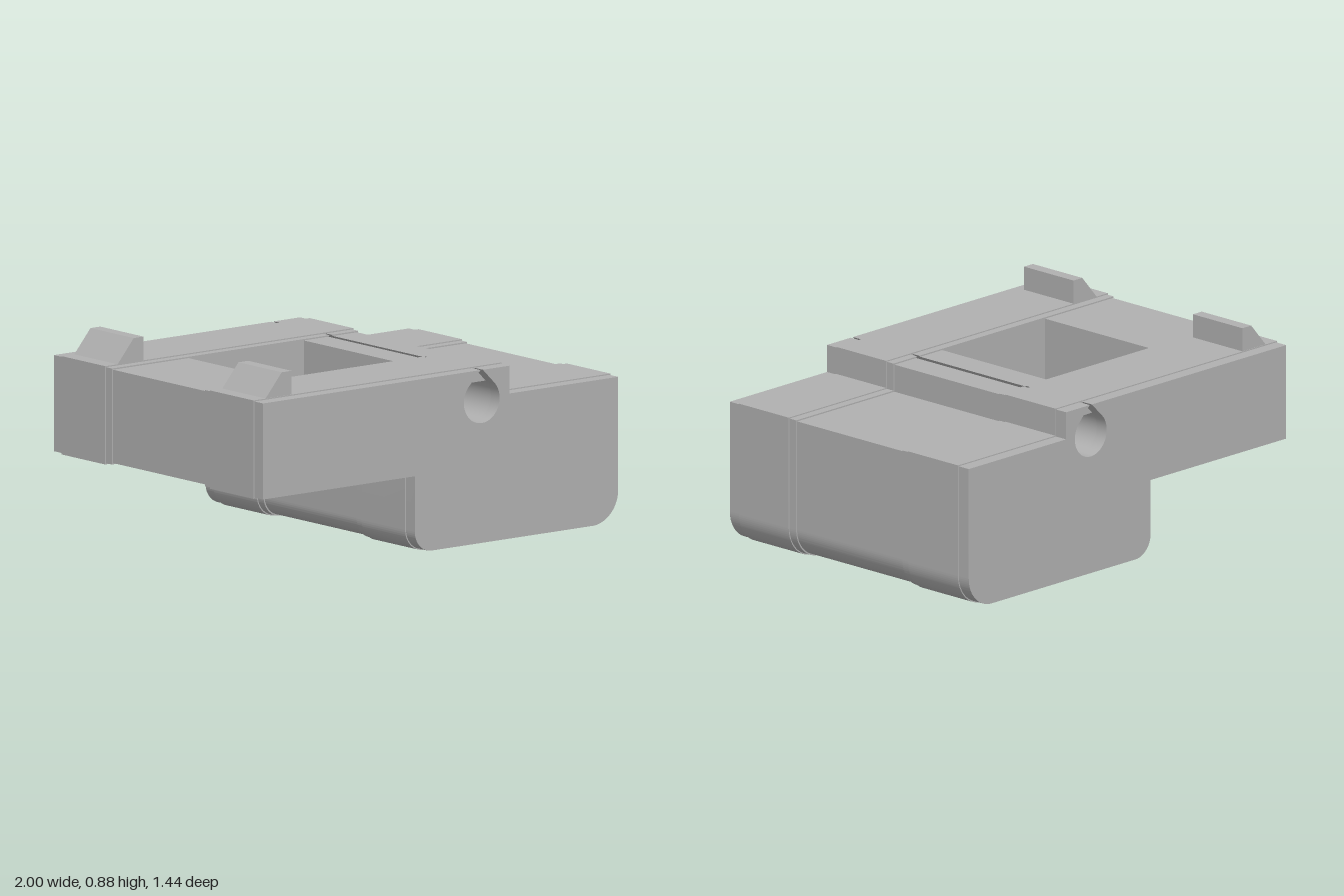
import * as THREE from 'three';
import { toCreasedNormals } from 'three/addons/utils/BufferGeometryUtils.js';

const BORE = { x: 0.23, y: 0.635, r: 0.1 };

// Stepped side profile, shrunk inward by d; optional open teardrop bore and pocket.
function bodyProfile(d, openBore, pocket) {
  const s = new THREE.Shape();
  const top = 0.775 - d, left = -0.15 + d, right = 1 - d;
  const rl = 0.1 - d, rr = 0.15 - d;
  s.moveTo(left + rl, d);
  s.lineTo(right - rr, d);
  s.absarc(right - rr, d + rr, rr, -Math.PI / 2, 0, false);
  s.lineTo(right, 0.652 - d);
  s.lineTo(0.39 - d, 0.652 - d);
  s.lineTo(0.39 - d, top);
  if (openBore) {
    // the teardrop tip breaks through the top as a narrow slit
    const { x, y, r } = BORE;
    const w = y + r * Math.SQRT2 - top;
    s.lineTo(x + w, top);
    s.lineTo(x + r * Math.SQRT1_2, y + r * Math.SQRT1_2);
    s.absarc(x, y, r, Math.PI / 4, 3 * Math.PI / 4, true);
    s.lineTo(x - w, top);
  } else {
    // flat-topped bore
    const hole = new THREE.Path();
    hole.absarc(BORE.x, BORE.y, BORE.r, Math.PI / 4, 3 * Math.PI / 4, true);
    hole.closePath();
    s.holes.push(hole);
  }
  if (pocket) {
    s.lineTo(0.08, top);
    s.lineTo(0.08, 0.485);
    s.lineTo(-0.565, 0.485);
    s.lineTo(-0.565, top);
  }
  s.lineTo(-1 + d, top);
  s.lineTo(-1 + d, 0.34 + d);
  s.lineTo(left, 0.34 + d);
  s.lineTo(left, d + rl);
  s.absarc(left + rl, d + rl, rl, Math.PI, 1.5 * Math.PI, false);
  return s;
}

function slab(name, shape, z0, z1, material) {
  const raw = new THREE.ExtrudeGeometry(shape, { depth: z1 - z0, bevelEnabled: false, curveSegments: 24 });
  const mesh = new THREE.Mesh(toCreasedNormals(raw, 0.5), material);
  mesh.name = name;
  mesh.position.z = z0;
  return mesh;
}

export function createModel() {
  const group = new THREE.Group();
  group.name = 'steppedBlock';
  const grey = new THREE.MeshStandardMaterial({ color: 0xb0b0b0 });
  grey.name = 'grey';

  // recessed middle with the rectangular pocket
  group.add(slab('middleBody', bodyProfile(0.011, true, true), -0.32, 0.32, grey));

  // wedge-shaped catch
  const hook = new THREE.Shape([[-0.93, 0.765], [-0.785, 0.765], [-0.785, 0.88], [-0.84, 0.88], [-0.93, 0.775]]
    .map(([x, y]) => new THREE.Vector2(x, y)));

  // layers and catches repeated on both sides
  const layers = [
    ['innerLip', bodyProfile(0.005, true, false), 0.32, 0.36],
    ['sideRail', bodyProfile(0, false, false), 0.36, 0.66],
    ['outerLip', bodyProfile(0.005, true, false), 0.66, 0.72],
    ['catch', hook, 0.36, 0.658],
  ];
  for (const [name, shape, a, b] of layers) {
    group.add(slab(name + 'Front', shape, a, b, grey));
    group.add(slab(name + 'Back', shape, -b, -a, grey));
  }
  return group;
}
